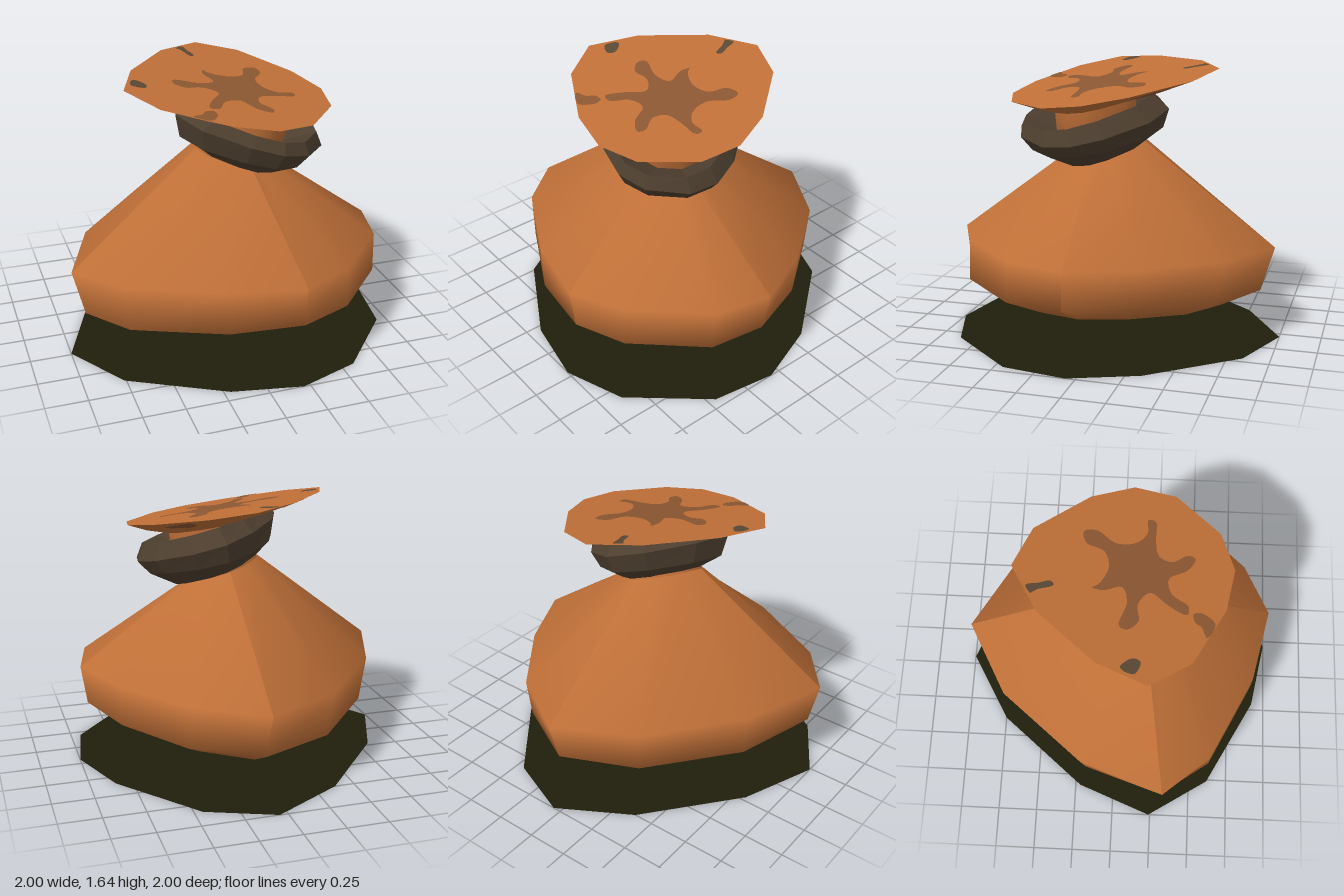
import * as THREE from 'three';

// Outlines as [x, z]; every third point is a seam corner
const OUTLINE = [
  [0.05, -1], [0.45, -0.84], [0.85, -0.34], [1, 0.06], [0.94, 0.45], [0.58, 0.87],
  [0.21, 1], [-0.21, 0.92], [-0.76, 0.62], [-1, 0.24], [-0.82, -0.22], [-0.38, -0.75],
];
const BODY_OUTLINE = [
  [0.08, -0.96], [0.49, -0.73], [0.8, -0.32], [0.97, 0.08], [0.9, 0.43], [0.55, 0.81],
  [0.23, 0.96], [-0.22, 0.87], [-0.75, 0.6], [-0.98, 0.31], [-0.8, -0.21], [-0.38, -0.72],
];
const N = OUTLINE.length;

// Ring: s scale, c centre [x, y, z], tilt [dy/dx, dy/dz], side = scale between the corners
function ringPoint({ s, c, tilt = [0, 0], side = s, outline = OUTLINE }, i) {
  const k = i % 3 === 0 ? s : side;
  const [ox, oz] = outline[i % N];
  const x = ox * k, z = oz * k;
  return new THREE.Vector3(c[0] + x, c[1] + x * tilt[0] + z * tilt[1], c[2] + z);
}

// Skin over rings from low to high, for columns from..to
function loft(rings, from = 0, to = N, flat = false) {
  const pos = [], index = [], w = to - from + 1;
  rings.forEach((r) => {
    for (let i = from; i <= to; i++) pos.push(...ringPoint(r, i).toArray());
  });
  for (let r = 0; r < rings.length - 1; r++) {
    for (let i = 0; i < w - 1; i++) {
      const a = r * w + i, b = a + 1;
      index.push(b, a, a + w, b, a + w, b + w);
    }
  }
  let g = new THREE.BufferGeometry();
  g.setAttribute('position', new THREE.Float32BufferAttribute(pos, 3));
  g.setIndex(index);
  if (flat) g = g.toNonIndexed();
  g.computeVertexNormals();
  return g;
}

// Neck, flare and flat top
const LID = { s: 0.628, c: [0.025, 1.55, 0.03], tilt: [-0.13, -0.13] };
const LIP = { s: 0.46, c: [0.07, 1.487, 0.07], tilt: [-0.14, -0.14] };
const FLARE = { s: 0.25, c: [0.13, 1.425, 0.13], tilt: [-0.16, -0.15] };
const lidY = (x, z) => LID.c[1] - 0.13 * (x - LID.c[0]) - 0.13 * (z - LID.c[2]);

// Rounded stain laid on the tilted top
function stain(points) {
  const curve = new THREE.SplineCurve([...points, points[0]].map(([x, z]) => new THREE.Vector2(x, -z)));
  const g = new THREE.ShapeGeometry(new THREE.Shape(curve.getPoints(points.length * 4)));
  g.rotateX(-Math.PI / 2);
  const p = g.attributes.position;
  for (let i = 0; i < p.count; i++) p.setY(i, lidY(p.getX(i), p.getZ(i)) + 0.003);
  g.computeVertexNormals();
  return g;
}

// Stain on the underside of the lip, within one column
function underStain(col) {
  const pos = [], index = [], n = 10;
  for (let k = 0; k <= n; k++) {
    const a = (k / n) * Math.PI * 2, r = k === n ? 0 : 0.33 + 0.08 * Math.cos(a * 3);
    const u = 0.5 + r * Math.cos(a), t = 0.5 + r * Math.sin(a);
    const edge = (ring) => ringPoint(ring, col).lerp(ringPoint(ring, col + 1), u);
    const p = edge(LIP).lerp(edge(LID), t);
    pos.push(p.x, p.y - 0.005, p.z);
    if (k < n) index.push(n, k, (k + 1) % n);
  }
  const g = new THREE.BufferGeometry();
  g.setAttribute('position', new THREE.Float32BufferAttribute(pos, 3));
  g.setIndex(index);
  g.computeVertexNormals();
  return g;
}

function makeMaterial(name, color) {
  const m = new THREE.MeshStandardMaterial({ color, side: THREE.DoubleSide });
  m.name = name;
  return m;
}

export function createModel() {
  const model = new THREE.Group();
  const clay = makeMaterial('orange cloth', 0xc07038);
  const cord = makeMaterial('dark cord', 0x4e3f2f);
  const ground = makeMaterial('dark olive', 0x201e0b);
  const stainBrown = makeMaterial('stain brown', 0x8c5732);
  const spotGrey = makeMaterial('spot grey', 0x5a4833);
  const add = (name, geometry, material) => {
    const mesh = new THREE.Mesh(geometry, material);
    mesh.name = name;
    model.add(mesh);
  };

  // Flat base patch
  add('basePatch', loft([{ s: 1, c: [0, 0, 0] }, { s: 0, c: [0, 0, 0] }], 0, N, true), ground);

  // Sack body: four smooth panels meeting at seams
  const body = [
    { s: 0, c: [0, 0.12, 0] },
    { s: 0.3, c: [-0.05, 0.12, 0.03] },
    { s: 0.69, c: [0.03, 0.195, 0.02], tilt: [0.06, 0.02] },
    { s: 0.945, side: 0.97, c: [0.015, 0.33, 0.025], tilt: [0.03, 0.03] },
    { s: 1, side: 0.99, c: [0, 0.592, 0], tilt: [0.01, 0.02] },
    { s: 0.25, c: [0.065, 1.15, 0.09], tilt: [-0.3, -0.17] },
  ].map((ring) => ({ ...ring, outline: BODY_OUTLINE }));
  for (let i = 0; i < N; i += 3) add('bodyPanel', loft(body, i, i + 3), clay);

  // Neck flaring out to the flat top
  add('neck', loft([body[5], { s: 0.24, c: [0.13, 1.32, 0.13], tilt: [-0.22, -0.15] }, FLARE]), clay);
  add('flare', loft([FLARE, LIP, LID]), clay);
  add('top', loft([LID, { ...LID, s: 0 }], 0, N, true), clay);

  // Tilted cord tied round the neck
  add('cordBand', loft([
    { s: 0.26, c: [0.09, 1.15, 0.1], tilt: [-0.31, -0.17] },
    { s: 0.4, c: [0.11, 1.235, 0.12], tilt: [-0.23, -0.12] },
    { s: 0.45, c: [0.13, 1.345, 0.13], tilt: [-0.28, -0.12] },
    { s: 0.385, c: [0.155, 1.42, 0.16], tilt: [-0.27, -0.17] },
    { s: 0.25, c: [0.13, 1.31, 0.13], tilt: [-0.25, -0.15] },
  ], 0, N, true), cord);

  // Star-shaped stain and smaller marks on the top
  add('starStain', stain([
    [-0.04, -0.15], [0, -0.1], [0.1, -0.06], [0.2, -0.09], [0.24, -0.19], [0.32, -0.21],
    [0.33, -0.13], [0.26, -0.03], [0.27, 0.08], [0.34, 0.15], [0.43, 0.15], [0.42, 0.2],
    [0.3, 0.2], [0.2, 0.22], [0.17, 0.3], [0.22, 0.38], [0.2, 0.43], [0.12, 0.38],
    [0.06, 0.28], [-0.04, 0.3], [-0.1, 0.39], [-0.16, 0.38], [-0.11, 0.28], [-0.04, 0.18],
    [-0.12, 0.11], [-0.22, 0.12], [-0.28, 0.06], [-0.25, 0.01], [-0.12, 0.05], [-0.02, 0.02], [-0.05, -0.08],
  ]), stainBrown);
  add('edgeStain', stain([
    [-0.15, 0.42], [-0.14, 0.47], [-0.2, 0.545], [-0.29, 0.5], [-0.23, 0.47], [-0.2, 0.43],
  ]), stainBrown);
  add('sideSpot', stain([[-0.53, 0.05], [-0.5, 0.03], [-0.45, 0.09], [-0.47, 0.14], [-0.54, 0.11]]), spotGrey);
  add('backSpot', stain([
    [-0.11, -0.48], [-0.06, -0.51], [-0.04, -0.44], [-0.02, -0.38], [-0.05, -0.36], [-0.08, -0.44],
  ]), spotGrey);

  // Stains under the lip
  for (const col of [1, 7, 10]) add('underStain', underStain(col), stainBrown);

  return model;
}
